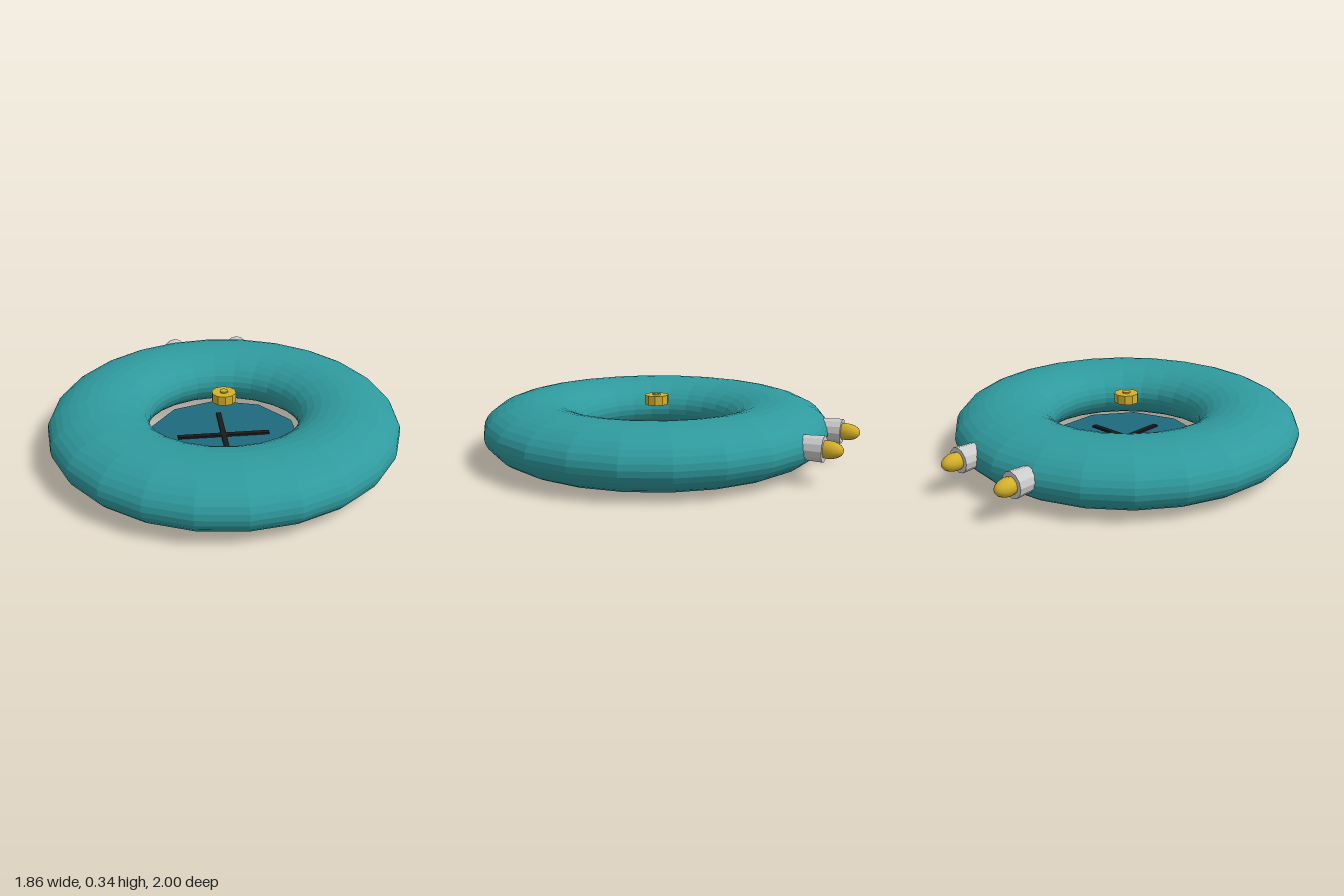
import * as THREE from 'three';

const CENTER_Z = 0.065;

const paint = (color, flatShading = true) => new THREE.MeshStandardMaterial({ color, flatShading });

function add(parent, name, geometry, material, x = 0, y = 0, z = 0) {
  const mesh = new THREE.Mesh(geometry, material);
  mesh.name = name;
  mesh.position.set(x, y, z);
  parent.add(mesh);
  return mesh;
}

export function createModel() {
  const model = new THREE.Group();
  model.name = 'inflatableRing';
  const teal = paint(0x2f9a9e);
  const blue = paint(0x1f6a7e);
  const black = paint(0x1a1a1a);
  const yellow = paint(0xd4b02a);
  const grey = paint(0xcccccc);

  // Flattened ring tube, laid on its side
  const ring = new THREE.TorusGeometry(0.665, 0.265, 32, 24);
  ring.rotateX(Math.PI / 2);
  ring.scale(1, 0.157 / 0.265, 1);
  add(model, 'ringTube', ring, teal, 0, 0.163, CENTER_Z);

  // Floor disc with crossed straps
  add(model, 'floorDisc', new THREE.CylinderGeometry(0.42, 0.42, 0.062, 10), blue, 0, 0.031, CENTER_Z);
  add(model, 'strapAcross', new THREE.BoxGeometry(0.5, 0.02, 0.028), black, 0, 0.063, CENTER_Z);
  add(model, 'strapAlong', new THREE.BoxGeometry(0.028, 0.02, 0.5), black, 0, 0.063, CENTER_Z);

  // Valve cap above the centre
  add(model, 'valveCap', new THREE.CylinderGeometry(0.065, 0.065, 0.05, 10), yellow, 0, 0.302, CENTER_Z);
  add(model, 'valveButton', new THREE.CylinderGeometry(0.022, 0.022, 0.02, 10), yellow, 0, 0.325, CENTER_Z);

  // Pair of rear nozzles with rounded tips
  for (const side of [-1, 1]) {
    const nozzle = new THREE.Group();
    nozzle.name = side > 0 ? 'leftNozzle' : 'rightNozzle';
    nozzle.position.set(side * 0.2, 0.175, 0);
    model.add(nozzle);
    const sleeve = new THREE.CylinderGeometry(0.06, 0.066, 0.14, 12);
    sleeve.rotateX(Math.PI / 2);
    add(nozzle, 'sleeve', sleeve, grey, 0, 0, -0.838);
    const tip = new THREE.SphereGeometry(0.045, 12, 10);
    tip.rotateX(Math.PI / 2);
    tip.scale(1, 1, 1.6);
    add(nozzle, 'tip', tip, paint(0xd4b02a, false), 0, 0, -0.928);
  }
  return model;
}
